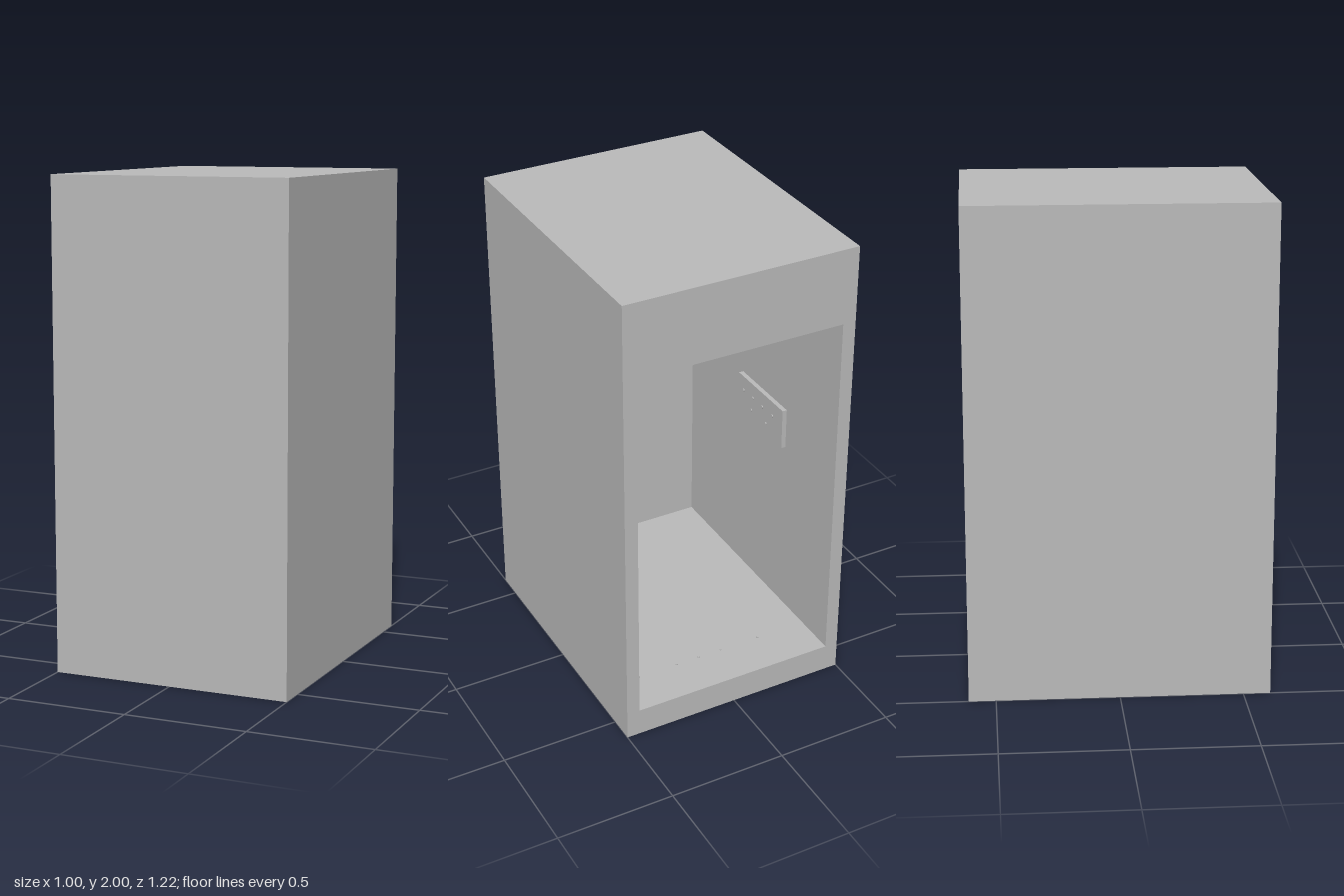
import * as THREE from 'three';

export function createModel() {
  const model = new THREE.Group();
  model.name = 'liftCabin';
  const grey = new THREE.MeshStandardMaterial({ color: 0xbababa });
  grey.name = 'cabin grey';

  const W = 0.5, D = 0.61;            // outer half width and half depth
  const inner = 0.444, floorY = 0.12, ceilingY = 1.876, openTop = 1.68;
  const frontInner = 0.575, headerInner = -0.52;

  const add = (name, geometry, parent = model) => {
    const mesh = new THREE.Mesh(geometry, grey);
    mesh.name = name;
    parent.add(mesh);
    return mesh;
  };

  // Shell: side-view C profile (z, y) extruded across the width between the walls
  const profile = new THREE.Shape([
    [-D, 0], [D, 0], [D, 2], [-D, 2], [-D, openTop], [headerInner, openTop],
    [headerInner, ceilingY], [frontInner, ceilingY], [frontInner, floorY], [-D, floorY],
  ].map(([z, y]) => new THREE.Vector2(-z, y)));
  const shell = new THREE.ExtrudeGeometry(profile, { depth: 2 * inner, bevelEnabled: false });
  shell.translate(0, 0, -inner).rotateY(Math.PI / 2);
  add('floorFrontRoofAndHeader', shell);

  // Side walls
  for (const side of [-1, 1]) {
    const wall = new THREE.BoxGeometry(W - inner, 2, 2 * D);
    add(side > 0 ? 'leftWall' : 'rightWall', wall).position.set(side * (W + inner) / 2, 1, 0);
  }

  // Shallow domed ceiling lamp
  const dome = [];
  for (let i = 0; i <= 8; i++) {
    const a = (i / 8) * Math.PI / 2;
    dome.push(new THREE.Vector2(0.145 * Math.sin(a), -0.035 * Math.cos(a)));
  }
  add('ceilingLamp', new THREE.LatheGeometry(dome, 32)).position.set(0, ceilingY, 0);

  // Control panel with two rows of buttons
  const panel = new THREE.Group();
  panel.name = 'controlPanel';
  panel.position.set(-inner, 1, -0.05);
  model.add(panel);
  add('panelPlate', new THREE.BoxGeometry(0.02, 0.18, 0.36), panel).position.x = 0.01;
  const buttons = [[0.138, 0.025], [0.06, 0.025], [-0.018, 0.025], [-0.1, 0.025], [0.07, -0.04], [-0.05, -0.04]];
  for (const [z, y] of buttons) {
    const button = add('panelButton', new THREE.CylinderGeometry(0.007, 0.007, 0.006, 12), panel);
    button.rotation.z = -Math.PI / 2;
    button.position.set(0.021, y, z);
  }

  // Small studs in the floor near the doorway
  for (const x of [0.35, 0.17, 0.065, -0.04, -0.22]) {
    add('floorStud', new THREE.CylinderGeometry(0.005, 0.005, 0.006, 10)).position.set(x, floorY + 0.001, -0.42);
  }

  return model;
}
